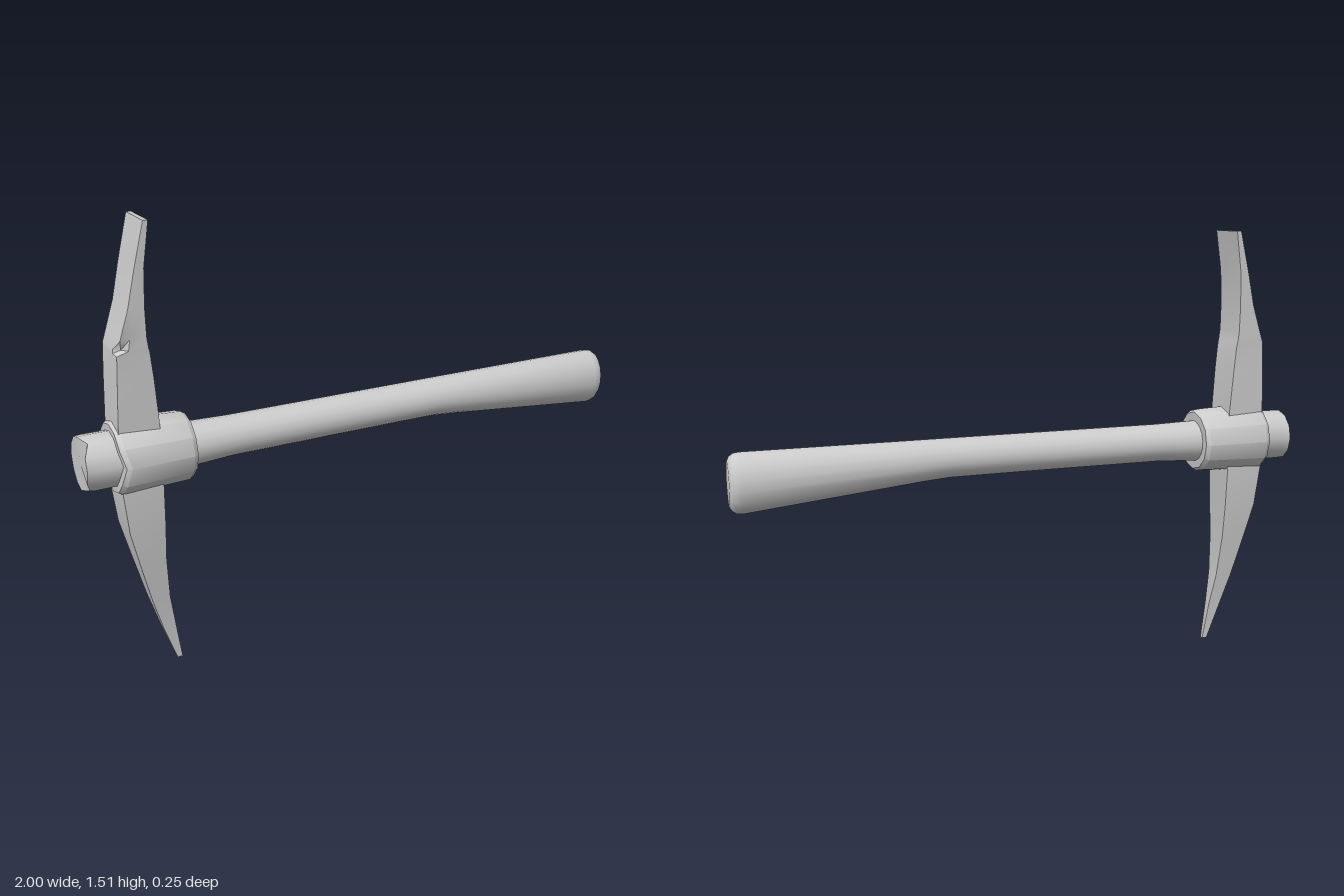
import * as THREE from 'three';
import { toCreasedNormals } from 'three/addons/utils/BufferGeometryUtils.js';

// Skin a list of equal-length rings (each point [x, y, z]) and cap both ends.
function loft(rings) {
  const n = rings[0].length, last = rings.length - 1;
  const pos = rings.flat(2), idx = [];
  for (let i = 0; i < last; i++) {
    for (let j = 0; j < n; j++) {
      const k = (j + 1) % n, a = i * n + j, b = i * n + k, c = b + n, d = a + n;
      idx.push(a, b, c, a, c, d);
    }
  }
  for (const end of [0, last]) {
    const centre = pos.length / 3;
    for (let c = 0; c < 3; c++) pos.push(rings[end].reduce((s, p) => s + p[c], 0) / n);
    for (let j = 0; j < n; j++) {
      const a = end * n + j, b = end * n + (j + 1) % n;
      if (end) idx.push(centre, a, b); else idx.push(centre, b, a);
    }
  }
  const geo = new THREE.BufferGeometry();
  geo.setAttribute('position', new THREE.Float32BufferAttribute(pos, 3));
  geo.setIndex(idx);
  return toCreasedNormals(geo, 0.65);
}

// Elliptical rings along x: [x, bottom, top, halfDepth]
function ovalRings(sections, sides) {
  return sections.map(([x, lo, hi, rz]) => Array.from({ length: sides }, (_, j) => {
    const a = j / sides * Math.PI * 2;
    return [x, (lo + hi) / 2 + Math.cos(a) * (hi - lo) / 2, Math.sin(a) * rz];
  }));
}

// Blade rings going up: [y, backX, frontX, halfDepth, chipped]
function bladeRings(sections) {
  return sections.map(([y, x0, x1, z, chipped]) => {
    const xi = x0 + (x1 - x0) * 0.36, zi = z * 0.4;
    const corner = chipped ? [(x0 + xi) / 2, y, (z + zi) / 2] : [x0, y, z];
    return [[x0, y, zi], corner, [xi, y, z], [x1, y, z], [x1, y, -z], [x0, y, -z]];
  });
}

export function createModel() {
  const group = new THREE.Group();
  const grey = new THREE.MeshStandardMaterial({ color: 0xcccccc });
  grey.name = 'light grey';
  const add = (name, geo) => {
    const mesh = new THREE.Mesh(geo, grey);
    mesh.name = name;
    group.add(mesh);
  };

  // Long handle with a drooping, rounded grip
  add('handle', loft(ovalRings([
    [-0.75, 0.685, 0.84, 0.078], [-0.64, 0.69, 0.836, 0.075], [-0.5, 0.698, 0.832, 0.07],
    [0, 0.698, 0.832, 0.068], [0.27, 0.697, 0.832, 0.068], [0.36, 0.69, 0.832, 0.069],
    [0.96, 0.627, 0.832, 0.073], [0.98, 0.63, 0.829, 0.07], [0.993, 0.64, 0.82, 0.062],
    [1, 0.655, 0.805, 0.05],
  ], 18)));

  // Handle stub poking out behind the head, with small nicks in its rim
  const stub = ovalRings([[-1, 0.676, 0.854, 0.087], [-0.97, 0.674, 0.856, 0.09], [-0.84, 0.674, 0.856, 0.09]], 12);
  stub[0][1][0] += 0.02;
  stub[0][5][0] += 0.015;
  add('handleStub', loft(stub));

  // Thick collar, bevelled at both ends, with one nick in the rear rim
  const collar = ovalRings([
    [-0.9, 0.652, 0.878, 0.114], [-0.885, 0.642, 0.888, 0.124],
    [-0.665, 0.65, 0.878, 0.114], [-0.65, 0.66, 0.868, 0.104],
  ], 12);
  collar[0][3][0] += 0.015;
  collar[1][3][0] += 0.015;
  add('collar', loft(collar));

  // Broad upper blade with a chipped corner
  add('upperBlade', loft(bladeRings([
    [0.77, -0.89, -0.755, 0.066], [0.87, -0.89, -0.757, 0.067], [1.02, -0.883, -0.767, 0.07],
    [1.11, -0.878, -0.775, 0.07], [1.123, -0.876, -0.778, 0.071, true], [1.157, -0.865, -0.782, 0.071],
    [1.25, -0.835, -0.783, 0.072], [1.37, -0.808, -0.778, 0.074], [1.51, -0.773, -0.757, 0.076],
  ])));

  // Tapering lower spike
  add('lowerSpike', loft(bladeRings([
    [0, -0.727, -0.709, 0.007], [0.13, -0.772, -0.728, 0.014], [0.25, -0.808, -0.747, 0.029],
    [0.4, -0.846, -0.757, 0.047], [0.52, -0.875, -0.757, 0.061], [0.66, -0.89, -0.757, 0.069],
    [0.77, -0.89, -0.755, 0.069],
  ])));

  return group;
}
